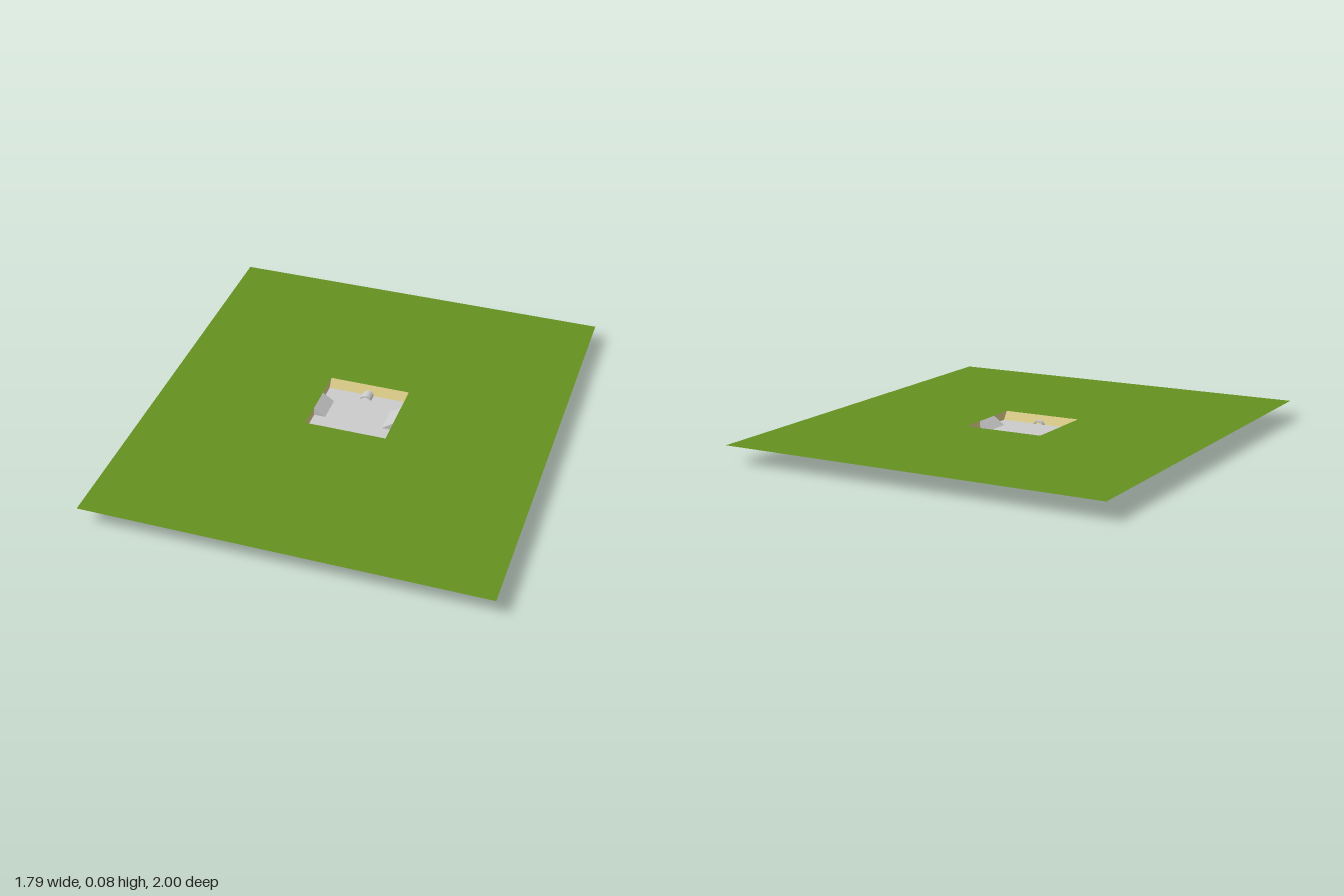
import * as THREE from 'three';

const GREEN = 0x64911f, SAND = 0xd9ca88, GREY = 0xcccccc;
const TOP = 0.078, FLOOR = 0.04, HALF = 0.186;

function add(parent, name, geometry, color) {
  const material = new THREE.MeshStandardMaterial({ color, side: THREE.DoubleSide, flatShading: true });
  const mesh = new THREE.Mesh(geometry, material);
  mesh.name = name;
  parent.add(mesh);
  return mesh;
}

// Extrudes a [z, y] outline along x
function prism(points, x0, x1) {
  const shape = new THREE.Shape(points.map(([z, y]) => new THREE.Vector2(-z, y)));
  const geometry = new THREE.ExtrudeGeometry(shape, { depth: x1 - x0, bevelEnabled: false });
  return geometry.rotateY(Math.PI / 2).translate(x0, 0, 0);
}

// Flat four-cornered panel
function quad(a, b, c, d) {
  const geometry = new THREE.BufferGeometry();
  geometry.setAttribute('position', new THREE.Float32BufferAttribute([...a, ...b, ...c, ...a, ...c, ...d], 3));
  geometry.computeVertexNormals();
  return geometry;
}

export function createModel() {
  const group = new THREE.Group();

  // Lawn sheet with a rectangular opening
  const lawn = new THREE.Shape([[-0.893, -1], [0.893, -1], [0.893, 1], [-0.893, 1]]
    .map(p => new THREE.Vector2(...p)));
  lawn.holes.push(new THREE.Path([[-HALF, -0.155], [-HALF, 0.205], [HALF, 0.205], [HALF, -0.155]]
    .map(p => new THREE.Vector2(...p))));
  add(group, 'lawn', new THREE.ShapeGeometry(lawn).rotateX(-Math.PI / 2).translate(0, TOP, 0), GREEN);

  // Pit floor
  add(group, 'pitFloor', quad([-HALF, FLOOR, 0.132], [HALF, FLOOR, 0.132],
    [HALF, FLOOR, -0.178], [-HALF, FLOOR, -0.178]), GREY);

  // Earth banks with sloped sand faces, and a pipe through each
  const ends = [
    { name: 'front', outer: 0.245, rim: 0.157, foot: 0.132, pipeZ: 0.15 },
    { name: 'back', outer: -0.265, rim: -0.205, foot: -0.178, pipeZ: -0.17 },
  ];
  for (const { name, outer, rim, foot, pipeZ } of ends) {
    const s = Math.sign(outer) * 0.001;
    add(group, name + 'Bank', prism([[outer, FLOOR], [outer, TOP - 0.001],
      [rim + s, TOP - 0.001], [foot + s, FLOOR]], -HALF, HALF), GREEN);
    add(group, name + 'Slope', quad([-HALF, TOP, rim], [HALF, TOP, rim],
      [HALF, FLOOR, foot], [-HALF, FLOOR, foot]), SAND);

    const ring = new THREE.Shape().absarc(0, 0, 0.029, 0, Math.PI * 2);
    ring.holes.push(new THREE.Path().absarc(0, 0, 0.022, 0, Math.PI * 2, true));
    const pipe = new THREE.ExtrudeGeometry(ring, { depth: 0.058, bevelEnabled: false, curveSegments: 16 });
    add(group, name + 'Pipe', pipe.translate(0, 0.029, pipeZ - 0.029), GREY);
  }

  // Upright side walls with a wedge ramp in the middle of each
  for (const [name, side] of [['left', 1], ['right', -1]]) {
    const x = side * HALF;
    add(group, name + 'Wall', quad([x, FLOOR, 0.132], [x, FLOOR, -0.178],
      [x, TOP, -0.205], [x, TOP, 0.157]), SAND);

    const wedge = new THREE.Shape([[x + side * 0.001, FLOOR - 0.001], [side * 0.132, FLOOR - 0.001],
      [x + side * 0.001, TOP]].map(p => new THREE.Vector2(...p)));
    const ramp = new THREE.ExtrudeGeometry(wedge, { depth: 0.125, bevelEnabled: false });
    add(group, name + 'Ramp', ramp.translate(0, 0, -0.085), GREY);
  }

  return group;
}
